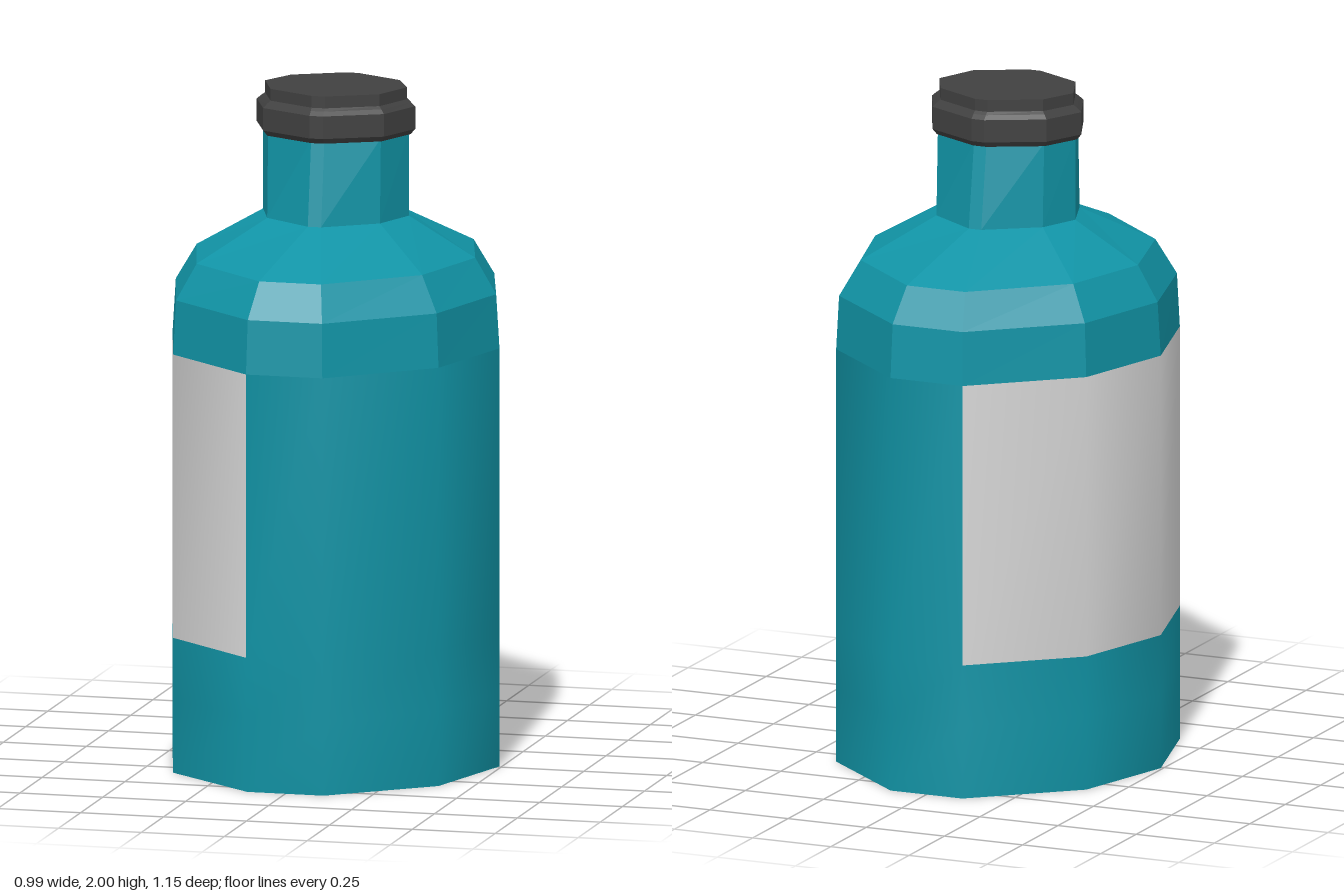
import * as THREE from 'three';

const teal = new THREE.MeshStandardMaterial({ color: 0x1194a6 });
teal.name = 'teal glass';
const paper = new THREE.MeshStandardMaterial({ color: 0xd6d6d6 });
paper.name = 'pale label';
const black = new THREE.MeshStandardMaterial({ color: 0x404040 });
black.name = 'dark cap';

// Ten-sided ring: front edge (x1, z1), diagonal corner (x2, z2), side corner x3
function ring(y, x1, z1, x2, z2, x3, front = z1) {
  const right = [[x1, front], [x2, z2], [x3, 0.01 * -1], [x2, -z2], [x1, -z1]];
  const left = right.map(([x, z]) => [-x, z]).reverse();
  return [...right, ...left].map(([x, z]) => [x, y, z]);
}

// Skin between rings; isLabel(row, side) puts a quad in the second material group
function loft(name, rings, materials, { flat = true, top = false, bottom = false, isLabel = () => false } = {}) {
  const n = rings[0].length;
  const groups = [[], []];
  for (let r = 0; r < rings.length - 1; r++) {
    for (let i = 0; i < n; i++) {
      const a = r * n + i, b = r * n + (i + 1) % n;
      groups[isLabel(r, i) ? 1 : 0].push(a, b, b + n, a, b + n, a + n);
    }
  }
  const last = (rings.length - 1) * n;
  for (let i = 1; i < n - 1; i++) {
    if (top) groups[0].push(last, last + i, last + i + 1);
    if (bottom) groups[0].push(0, i + 1, i);
  }
  let geometry = new THREE.BufferGeometry();
  geometry.setAttribute('position', new THREE.Float32BufferAttribute(rings.flat(2), 3));
  geometry.setIndex(groups.flat());
  if (flat) geometry = geometry.toNonIndexed();
  geometry.computeVertexNormals();
  geometry.addGroup(0, groups[0].length, 0);
  if (groups[1].length) geometry.addGroup(groups[0].length, groups[1].length, 1);
  const mesh = new THREE.Mesh(geometry, materials);
  mesh.name = name;
  return mesh;
}

export function createModel() {
  const model = new THREE.Group();
  model.name = 'bottle';
  const wall = (y, front) => ring(y, 0.115, 0.575, 0.4, 0.33, 0.493, front);

  // Smooth body wall, with the label wrapped around its right half
  model.add(loft('bodyAndLabel', [wall(0, 0.562), wall(0.22), wall(0.4), wall(1.24)], [teal, paper], {
    flat: false,
    isLabel: (row, side) => row === 2 && side >= 5 && side <= 8,
  }));

  // Flat base
  const base = loft('base', [wall(0, 0.562), wall(0.002, 0.562)], [teal], { bottom: true });
  model.add(base);

  // Faceted shoulder
  const neckFoot = ring(1.62, 0.02, 0.233, 0.17, 0.13, 0.22);
  model.add(loft('shoulder', [
    wall(1.24),
    ring(1.4, 0.112, 0.567, 0.393, 0.325, 0.483),
    ring(1.505, 0.093, 0.508, 0.34, 0.29, 0.42),
    neckFoot,
  ], [teal]));

  // Neck, tapering only front to back
  model.add(loft('neck', [neckFoot, ring(1.87, 0.02, 0.196, 0.17, 0.12, 0.22)], [teal]));

  // Bevelled cap with a smaller raised top
  model.add(loft('cap', [
    ring(1.862, 0.02, 0.2, 0.172, 0.122, 0.225),
    ring(1.878, 0.02, 0.213, 0.182, 0.13, 0.239),
    ring(1.945, 0.02, 0.213, 0.182, 0.13, 0.239),
    ring(1.957, 0.02, 0.2, 0.172, 0.122, 0.225),
    ring(1.965, 0.02, 0.19, 0.164, 0.115, 0.214),
    ring(2, 0.02, 0.19, 0.164, 0.115, 0.214),
  ], [black], { top: true, bottom: true }));

  return model;
}
